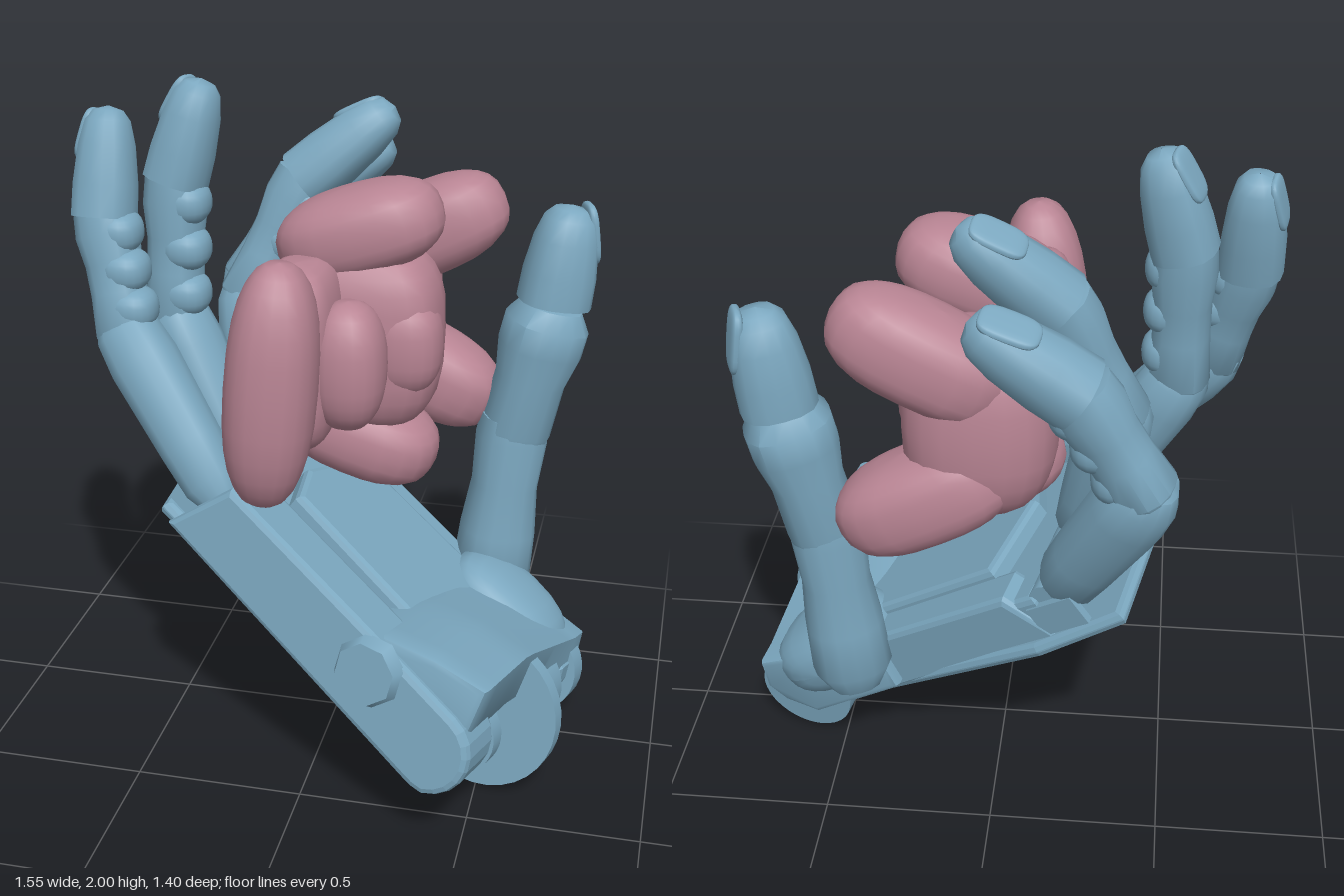
import * as THREE from 'three';
import { toCreasedNormals } from 'three/addons/utils/BufferGeometryUtils.js';

const V = (a) => new THREE.Vector3(...a);
const blue = new THREE.MeshStandardMaterial({ color: 0x7ba7bf });
const pink = new THREE.MeshStandardMaterial({ color: 0xb98594 });

// palm axes: A wrist to knuckles, L across to the little finger, N out of the palm
const A = V([-0.78, 0.55, -0.3]).normalize();
const N = A.clone().cross(V([-0.25, 0.17, 0.95])).normalize();
const L = N.clone().cross(A);
const WRIST = V([0.51, 0.26, 0.25]);

function add(parent, name, geo, mat = blue) {
  const mesh = new THREE.Mesh(geo, mat);
  mesh.name = name;
  parent.add(mesh);
  return mesh;
}

// squared-off ellipsoid; k below 1 makes it boxier
function blob(parent, name, center, radii, mat, k = 0.75, rot = [0, 0, 0]) {
  const geo = new THREE.SphereGeometry(1, 20, 14);
  const pos = geo.attributes.position;
  const soft = (c) => Math.sign(c) * Math.abs(c) ** k;
  for (let i = 0; i < pos.count; i++) {
    pos.setXYZ(i, soft(pos.getX(i)) * radii[0], soft(pos.getY(i)) * radii[1], soft(pos.getZ(i)) * radii[2]);
  }
  geo.computeVertexNormals();
  const mesh = add(parent, name, geo, mat);
  mesh.position.set(...center);
  mesh.rotation.set(...rot);
  return mesh;
}

// round bar from p to q; stations are [fraction of length, radius]
function limb(p, q, stations, dorsal) {
  const dir = q.clone().sub(p);
  const t = dir.clone().normalize();
  const a = dorsal.clone().addScaledVector(t, -dorsal.dot(t)).normalize();
  const b = t.clone().cross(a);
  const sides = 16, verts = [], index = [];
  stations.forEach(([f, r], i) => {
    for (let j = 0; j < sides; j++) {
      const ang = (j / sides) * Math.PI * 2;
      const c = Math.cos(ang), s = Math.sin(ang);
      const boxy = r / (Math.abs(c) ** 2.6 + Math.abs(s) ** 2.6) ** (1 / 2.6);
      const v = p.clone().addScaledVector(dir, f).addScaledVector(a, c * boxy).addScaledVector(b, s * boxy);
      verts.push(v.x, v.y, v.z);
      if (i < stations.length - 1) {
        const n = (j + 1) % sides, k = i * sides, m = k + sides;
        index.push(k + j, k + n, m + n, k + j, m + n, m + j);
      }
    }
  });
  const geo = new THREE.BufferGeometry();
  geo.setAttribute('position', new THREE.Float32BufferAttribute(verts, 3));
  geo.setIndex(index);
  return toCreasedNormals(geo, 0.75);
}

// fingertip shell with a nail on its outer side
function fingertip(parent, p, q, r, dorsal) {
  add(parent, 'fingertip', limb(p, q, [[0, 0.001], [0.001, r], [0.3, r * 0.98], [0.65, r * 0.86],
    [0.87, r * 0.68], [0.96, r * 0.45], [1, 0.001]], dorsal));
  const t = q.clone().sub(p).normalize();
  const d = dorsal.clone().addScaledVector(t, -dorsal.dot(t)).normalize();
  const nail = blob(parent, 'nail', p.clone().lerp(q, 0.74).addScaledVector(d, r * 0.66).toArray(),
    [r * 0.55, r * 0.85, r * 0.16], blue, 0.6);
  const tilt = t.clone().addScaledVector(d, -0.28).normalize();
  const out = d.clone().addScaledVector(t, 0.28).normalize();
  nail.setRotationFromMatrix(new THREE.Matrix4().makeBasis(tilt.clone().cross(out), tilt, out));
}

function finger(parent, name, points, r) {
  const g = new THREE.Group();
  g.name = name;
  parent.add(g);
  const [base, knee, joint, tip] = points.map(V);
  add(g, 'lowerSegment', limb(base, knee, [[-0.16, 0.001], [-0.14, r * 0.6], [0, r * 0.92], [0.25, r],
    [0.8, r * 1.1], [1, r], [1.13, r * 0.7], [1.19, 0.001]], A));
  add(g, 'middleSegment', limb(knee, joint, [[-0.2, 0.001], [-0.15, r * 0.6], [0, r * 0.94], [0.35, r * 0.85],
    [0.6, r * 0.85], [0.85, r * 0.97], [1.05, r * 0.9], [1.1, 0.001]], A));
  // soft pads on the inner side
  const t = joint.clone().sub(knee).normalize();
  const inner = A.clone().addScaledVector(t, -A.dot(t)).normalize().negate();
  for (const f of [0.2, 0.53, 0.86]) {
    blob(g, 'pad', knee.clone().lerp(joint, f).addScaledVector(inner, r * 0.4).toArray(),
      [r * 0.8, r * 0.7, r * 0.85], blue, 0.85);
  }
  fingertip(g, joint, tip, r, A);
}

// outline in (u, v) or (u, w) with a small bevel
function slab(points, depth, steps = 1) {
  const shape = new THREE.Shape(points.map(([x, y]) => new THREE.Vector2(x, y)));
  return new THREE.ExtrudeGeometry(shape, { depth, steps, bevelSize: 0.02, bevelThickness: 0.02, bevelSegments: 2 });
}

function buildPalm(root) {
  const palm = new THREE.Group();
  palm.name = 'palm';
  palm.position.copy(WRIST);
  palm.setRotationFromMatrix(new THREE.Matrix4().makeBasis(A, L, N));
  root.add(palm);

  // main plate and the thin back shell beneath it
  add(palm, 'palmPlate', slab([[0.06, -0.38], [0.96, -0.4], [0.98, 0], [0.9, 0.36], [0.06, 0.36]], 0.11))
    .position.z = -0.07;
  add(palm, 'backShell', slab([[0.12, -0.39], [0.9, -0.44], [1.18, -0.4], [1.16, -0.02], [1.02, 0.38], [0.12, 0.38]], 0.005))
    .position.z = -0.1;
  // raised cushion in the middle of the palm
  add(palm, 'palmCushion', slab([[0.25, -0.3], [0.8, -0.29], [0.84, 0], [0.78, 0.14], [0.25, 0.16]], 0.06))
    .position.z = 0.04;

  // raised edges with rounded wrist ends, drawn in (u, w) and extruded across the hand
  for (const [name, v, depth, top] of [['outerRail', 0.43, 0.15, 0.12], ['innerRail', -0.31, 0.1, 0.07]]) {
    const rail = [[0.96, -0.08], [0.88, top], [0.34, top]];
    for (let i = 0; i <= 10; i++) {
      const ang = Math.PI * (0.5 + i / 10);
      rail.push([Math.cos(ang) * 0.11, Math.max(Math.min(Math.sin(ang) * 0.115, top), -0.1)]);
    }
    const mesh = add(palm, name, slab(rail, depth));
    mesh.rotation.x = Math.PI / 2;
    mesh.position.y = v;
  }

  // heel of the hand, sloping down towards the thumb
  const heel = slab([[-0.04, 0.1], [-0.02, 0], [0.05, -0.07], [0.34, -0.06], [0.36, 0.06], [0.28, 0.13], [0.14, 0.19], [0, 0.23]], 0.85, 12);
  const pos = heel.attributes.position;
  for (let i = 0; i < pos.count; i++) {
    const u = pos.getX(i), w = pos.getY(i), v = 0.4 - pos.getZ(i);
    const drop = Math.min(Math.max((0.1 - v) / 0.5, 0), 1);
    if (w > 0) pos.setY(i, w * (1 - 0.4 * drop));
    if (u < 0.1) pos.setX(i, u - 0.05 * drop);
  }
  heel.computeVertexNormals();
  const heelMesh = add(palm, 'heel', toCreasedNormals(heel, 0.6));
  heelMesh.rotation.x = Math.PI / 2;
  heelMesh.position.y = 0.4;
  blob(palm, 'thumbMound', [0.16, -0.34, 0.07], [0.22, 0.17, 0.12], blue, 0.8);

  // wrist hinge discs: [across, radius, thickness]
  for (const [v, r, h] of [[0.21, 0.12, 0.06], [0.02, 0.235, 0.05], [-0.2, 0.15, 0.09], [-0.4, 0.15, 0.07]]) {
    add(palm, 'wristDisc', new THREE.CylinderGeometry(r, r, h, 32)).position.set(-0.02, v, -0.02);
  }
  add(palm, 'outerBoss', new THREE.CylinderGeometry(0.09, 0.11, 0.04, 8)).position.set(0.26, 0.46, 0.05);

  // knuckle hinges
  [0.28, 0.08, -0.13, -0.33].forEach((v, i) => {
    const u = 0.95 + i * 0.02;
    add(palm, 'knuckle', new THREE.CylinderGeometry(0.06, 0.06, 0.15, 16)).position.set(u, v, 0.02);
    for (const s of [-1, 1]) {
      add(palm, 'knuckleTab', new THREE.BoxGeometry(0.16, 0.025, 0.1)).position.set(u + 0.01, v + s * 0.085, -0.02);
    }
  });
}

function buildThumb(root) {
  const g = new THREE.Group();
  g.name = 'thumb';
  root.add(g);
  const out = V([1, 0, -0.4]).normalize();
  add(g, 'thumbLower', limb(V([0.445, 0.4, -0.275]), V([0.495, 0.92, -0.3]),
    [[-0.2, 0.001], [-0.16, 0.08], [0, 0.12], [0.3, 0.115], [0.6, 0.1], [0.9, 0.108], [1.04, 0.1], [1.1, 0.001]], out));
  add(g, 'thumbMiddle', limb(V([0.49, 0.86, -0.297]), V([0.585, 1.27, -0.32]),
    [[-0.1, 0.001], [-0.05, 0.09], [0.1, 0.107], [0.5, 0.105], [0.75, 0.125], [0.95, 0.125], [1.08, 0.09], [1.12, 0.001]], out));
  fingertip(g, V([0.595, 1.31, -0.33]), V([0.635, 1.61, -0.35]), 0.11, out);
}

// soft lobed object held in the hand
function buildHeldObject(root) {
  const g = new THREE.Group();
  g.name = 'heldObject';
  root.add(g);
  blob(g, 'body', [0.06, 1.28, -0.03], [0.25, 0.28, 0.18], pink, 0.65);
  blob(g, 'neck', [-0.07, 1.28, 0.18], [0.12, 0.27, 0.18], pink, 0.6);
  blob(g, 'frontDisc', [-0.09, 1.27, 0.42], [0.13, 0.355, 0.155], pink, 0.82, [0, 0.15, -0.08]);
  blob(g, 'snout', [0.08, 1.27, 0.22], [0.11, 0.19, 0.12], pink, 0.85);
  blob(g, 'chest', [0.2, 1.28, 0.04], [0.12, 0.15, 0.11], pink, 0.8);
  blob(g, 'hips', [0.04, 1.28, -0.29], [0.22, 0.29, 0.19], pink, 0.8);
  for (const s of [-1, 1]) {
    blob(g, 'sideLobe', [0.06, 1.28 + s * 0.31, -0.03], [0.25, 0.13, 0.16], pink, 0.8, [0, 0, s * 0.32]);
    blob(g, 'rearLobe', [0.19, 1.28 + s * 0.22, -0.36], [0.27, 0.14, 0.145], pink, 0.78, [0, 0, s * 0.46]);
  }
}

export function createModel() {
  const root = new THREE.Group();
  root.name = 'handHoldingObject';
  buildPalm(root);
  finger(root, 'littleFinger', [[-0.3, 0.9, 0.3], [-0.6, 1.28, 0.135], [-0.685, 1.6, 0.05], [-0.685, 1.91, -0.03]], 0.092);
  finger(root, 'ringFinger', [[-0.29, 0.88, 0.07], [-0.5, 1.28, -0.02], [-0.5, 1.69, -0.06], [-0.42, 1.99, -0.085]], 0.093);
  finger(root, 'middleFinger', [[-0.25, 0.86, -0.13], [-0.34, 1.28, -0.26], [-0.18, 1.64, -0.33], [0.09, 1.87, -0.375]], 0.095);
  finger(root, 'indexFinger', [[-0.22, 0.83, -0.39], [-0.42, 1.23, -0.57], [-0.25, 1.52, -0.585], [0.04, 1.715, -0.595]], 0.098);
  buildThumb(root);
  buildHeldObject(root);
  return root;
}
